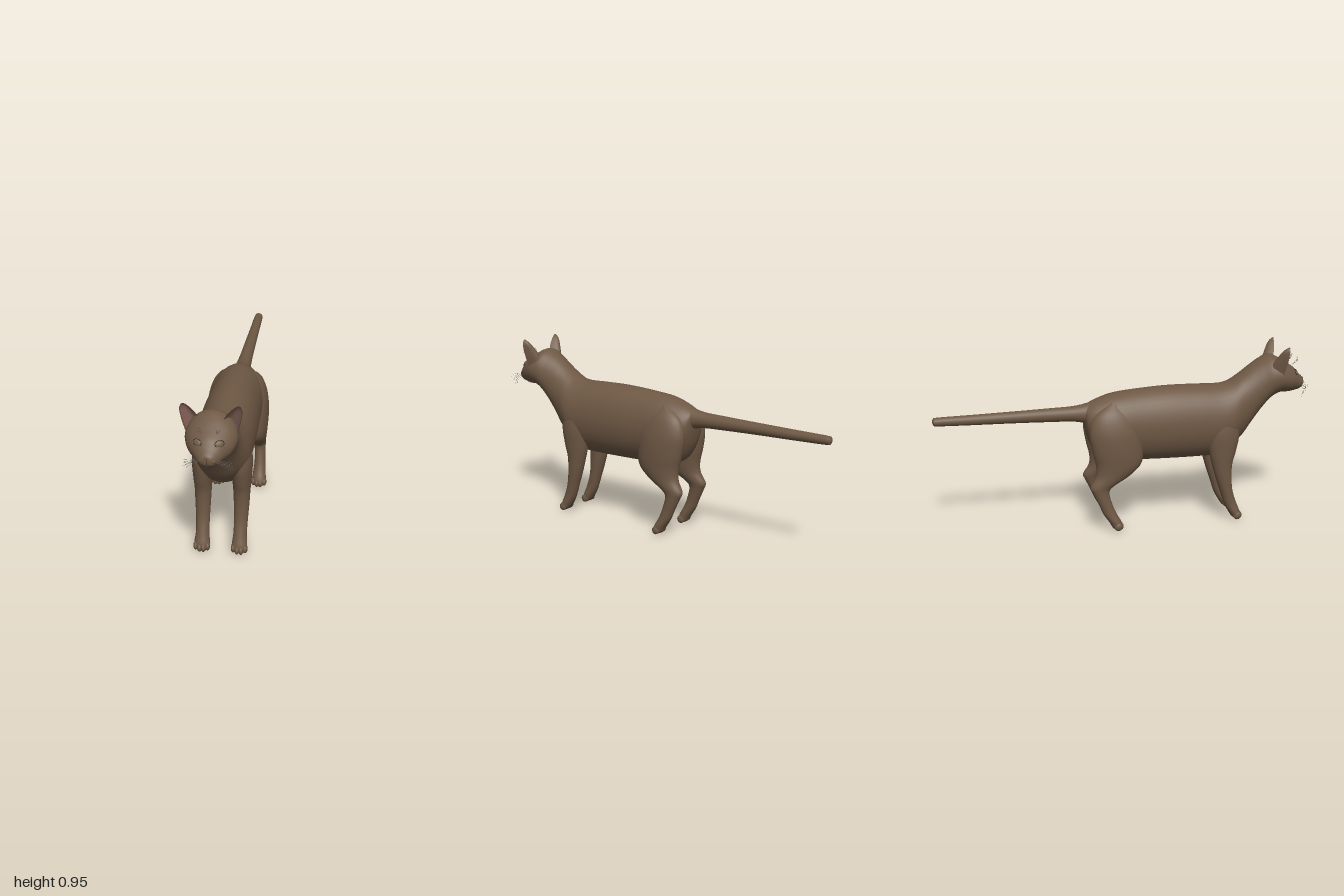
import * as THREE from 'three';

const mat = (name, color, side = THREE.FrontSide) => {
  const m = new THREE.MeshStandardMaterial({ color, side });
  m.name = name;
  return m;
};

// Smoothly interpolates rows of numbers along a Catmull-Rom path.
function sampleRows(rows, t) {
  const f = t * (rows.length - 1);
  const i = Math.min(Math.floor(f), rows.length - 2), s = f - i;
  const at = k => rows[Math.max(0, Math.min(rows.length - 1, k))];
  const [a, b, c, d] = [at(i - 1), at(i), at(i + 1), at(i + 2)];
  return b.map((_, k) => 0.5 * (2 * b[k] + (c[k] - a[k]) * s
    + (2 * a[k] - 5 * b[k] + 4 * c[k] - d[k]) * s * s
    + (3 * b[k] - a[k] - 3 * c[k] + d[k]) * s * s * s));
}

// Builds an indexed grid; closed joins the last column to the first.
function grid(nu, nv, closed, point) {
  const pos = [], idx = [], cols = closed ? nu : nu + 1;
  for (let i = 0; i <= nv; i++)
    for (let j = 0; j < cols; j++) pos.push(...point(j / nu, i / nv));
  for (let i = 0; i < nv; i++)
    for (let j = 0; j < nu; j++) {
      const k = (j + 1) % cols, r = i * cols, q = r + cols;
      idx.push(r + j, r + k, q + j, r + k, q + k, q + j);
    }
  const g = new THREE.BufferGeometry();
  g.setAttribute('position', new THREE.Float32BufferAttribute(pos, 3));
  g.setIndex(idx);
  g.computeVertexNormals();
  return g;
}

// Rows along z: [z, top, bottom, halfWidth]
const loftZ = (rows, sides = 40) => grid(sides, (rows.length - 1) * 5, true, (u, v) => {
  const [z, top, bottom, w] = sampleRows(rows, v), a = u * Math.PI * 2;
  return [w * Math.cos(a), (top + bottom) / 2 + (top - bottom) / 2 * Math.sin(a), z];
});

// Rows down y: [y, front, back, xCentre, xRadius]
const loftY = (rows, s) => grid(28, (rows.length - 1) * 5, true, (u, v) => {
  const [y, front, back, x, rx] = sampleRows(rows, v), a = u * Math.PI * 2;
  return [s * x + rx * Math.cos(a), y, (front + back) / 2 + (front - back) / 2 * Math.sin(a)];
});

const BODY = [
  [-0.216, 0.64, 0.62, 0.005], [-0.21, 0.67, 0.56, 0.05], [-0.19, 0.685, 0.48, 0.085],
  [-0.14, 0.708, 0.4, 0.118], [-0.05, 0.735, 0.37, 0.138], [0.1, 0.75, 0.36, 0.14],
  [0.25, 0.757, 0.356, 0.145], [0.4, 0.755, 0.355, 0.146], [0.5, 0.752, 0.358, 0.145],
  [0.56, 0.758, 0.38, 0.143], [0.6, 0.775, 0.415, 0.134], [0.65, 0.81, 0.46, 0.117],
  [0.7, 0.848, 0.53, 0.108], [0.75, 0.88, 0.6, 0.11], [0.8, 0.9, 0.66, 0.12],
  [0.85, 0.88, 0.69, 0.123], [0.9, 0.848, 0.69, 0.106], [0.94, 0.82, 0.694, 0.076],
  [0.965, 0.79, 0.698, 0.056], [0.985, 0.772, 0.708, 0.039], [0.996, 0.758, 0.722, 0.02],
  [0.999, 0.742, 0.738, 0.002],
];
const TAIL = [
  [-1, 0.637, 0.635, 0.001], [-0.993, 0.653, 0.619, 0.017], [-0.97, 0.658, 0.613, 0.024],
  [-0.8, 0.661, 0.608, 0.027], [-0.6, 0.665, 0.604, 0.031], [-0.4, 0.67, 0.598, 0.035],
  [-0.25, 0.676, 0.59, 0.043], [-0.15, 0.7, 0.56, 0.06],
];
const FRONT_LEG = [
  [0.66, 0.54, 0.5, 0.085, 0.01], [0.6, 0.6, 0.45, 0.088, 0.045], [0.5, 0.615, 0.435, 0.094, 0.056],
  [0.4, 0.598, 0.45, 0.097, 0.049], [0.33, 0.58, 0.467, 0.097, 0.043], [0.25, 0.578, 0.49, 0.097, 0.039],
  [0.17, 0.587, 0.517, 0.096, 0.035], [0.1, 0.61, 0.54, 0.095, 0.034],
  [0.05, 0.63, 0.567, 0.095, 0.039], [0.02, 0.632, 0.588, 0.095, 0.036], [0.008, 0.615, 0.61, 0.095, 0.004],
];
const HIND_LEG = [
  [0.7, -0.05, -0.08, 0.07, 0.01], [0.64, 0.03, -0.17, 0.08, 0.05], [0.55, 0.075, -0.2, 0.092, 0.067],
  [0.45, 0.085, -0.187, 0.096, 0.069], [0.37, 0.075, -0.168, 0.098, 0.062], [0.31, 0.015, -0.17, 0.102, 0.05],
  [0.255, -0.075, -0.2, 0.108, 0.036], [0.22, -0.1, -0.188, 0.111, 0.031], [0.15, -0.083, -0.155, 0.114, 0.029],
  [0.1, -0.062, -0.133, 0.115, 0.032], [0.05, -0.035, -0.1, 0.115, 0.038], [0.02, -0.033, -0.082, 0.115, 0.035],
  [0.008, -0.05, -0.056, 0.115, 0.004],
];
// Ear edges from base to tip
const EAR_OUTER = [[0.117, 0.8, 0.845], [0.134, 0.87, 0.858], [0.143, 0.93, 0.865], [0.134, 0.957, 0.866]];
const EAR_INNER = [[0.05, 0.865, 0.84], [0.068, 0.902, 0.853], [0.1, 0.942, 0.862], [0.124, 0.96, 0.866]];

export function createModel() {
  const root = new THREE.Group();
  root.name = 'cat';
  const fur = mat('brown fur', 0x6e5844);
  const earPink = mat('ear pink', 0x8c655d, THREE.DoubleSide);
  const earFur = mat('ear fur', 0x6e5844, THREE.DoubleSide);
  const eyeMat = mat('eye brown', 0x725f48);
  const dark = mat('dark line', 0x33281f);
  const noseMat = mat('nose', 0x70534a);
  const whiskerMat = mat('whisker grey', 0x707075);

  const add = (name, geo, material, parent = root) => {
    const m = new THREE.Mesh(geo, material);
    m.name = name;
    parent.add(m);
    return m;
  };
  const ball = new THREE.SphereGeometry(1, 20, 14);
  const blob = (name, material, p, s) => {
    const m = add(name, ball, material);
    m.position.set(...p);
    m.scale.set(...s);
    return m;
  };
  const line = (name, pts, r, material) => add(name, new THREE.TubeGeometry(
    new THREE.CatmullRomCurve3(pts.map(p => new THREE.Vector3(...p))), 10, r, 4), material);

  add('bodyAndHead', loftZ(BODY), fur);
  add('tail', loftZ(TAIL, 24), fur);
  blob('nose', noseMat, [0, 0.757, 0.991], [0.012, 0.008, 0.008]);
  line('noseCrease', [[0, 0.75, 0.998], [0, 0.738, 0.9995], [0, 0.727, 0.997]], 0.0012, dark);

  for (const s of [1, -1]) {
    const side = s > 0 ? 'left' : 'right';
    add(side + 'FrontLeg', loftY(FRONT_LEG, s), fur);
    add(side + 'HindLeg', loftY(HIND_LEG, s), fur);

    // Four toes on each paw
    for (const [name, x, z] of [['Front', 0.095, 0.62], ['Hind', 0.115, -0.047]])
      for (let i = 0; i < 4; i++) {
        const o = i - 1.5, mid = Math.abs(o) < 1;
        blob(side + name + 'Toe', fur, [s * x + o * 0.02, mid ? 0.027 : 0.032, z - (mid ? 0 : 0.01)],
          [0.0125, 0.022, 0.022]);
      }

    // Cupped ear with a pink lining
    const ear = (inset, depth, lift) => grid(14, 14, false, (u, v) => {
      const o = sampleRows(EAR_OUTER, v), n = sampleRows(EAR_INNER, v);
      const c = (u - 0.5) * 2, k = 0.5 + c * inset / 2;
      const p = o.map((q, i) => n[i] + (q - n[i]) * k);
      return [s * p[0], p[1], p[2] + lift - depth * (1 - (c * inset) ** 2) * (1 - v ** 1.6)];
    });
    add(side + 'Ear', ear(1, 0.06, 0), earFur);
    add(side + 'EarLining', ear(0.88, 0.058, 0.003), earPink);

    // Eye with a dark rim
    const eye = new THREE.Group();
    eye.name = side + 'Eye';
    eye.position.set(s * 0.049, 0.803, 0.938);
    eye.rotation.set(-0.4, s * 0.5, s * 0.12, 'YXZ');
    root.add(eye);
    add('eyeball', ball, eyeMat, eye).scale.set(0.022, 0.016, 0.009);
    add('eyeRim', new THREE.TorusGeometry(0.022, 0.0016, 6, 28), dark, eye).scale.y = 0.75;
    eye.children[1].position.z = 0.003;

    // Muzzle, mouth and whiskers
    blob(side + 'WhiskerPad', fur, [s * 0.02, 0.738, 0.973], [0.024, 0.018, 0.022]);
    line(side + 'Mouth', [[0, 0.727, 0.997], [s * 0.02, 0.717, 0.989], [s * 0.043, 0.722, 0.968]], 0.0015, dark);
    for (let i = 0; i < 6; i++) {
      const y = 0.742 - (i % 3) * 0.007, e = 0.735 - i * 0.011, x = 0.118 - (i % 2) * 0.015;
      line(side + 'Whisker', [[s * 0.035, y, 0.975], [s * 0.075, (y + e) / 2 + 0.006, 0.99 - i * 0.003],
        [s * x, e, 0.985 - i * 0.006]], 0.0006, whiskerMat);
    }
    for (let i = 0; i < 4; i++)
      line(side + 'BrowWhisker', [[s * 0.034, 0.84, 0.917], [s * (0.036 + i * 0.004), 0.86, 0.937],
        [s * (0.036 + i * 0.008), 0.887 - i * 0.004, 0.948]], 0.0006, whiskerMat);
  }
  return root;
}
